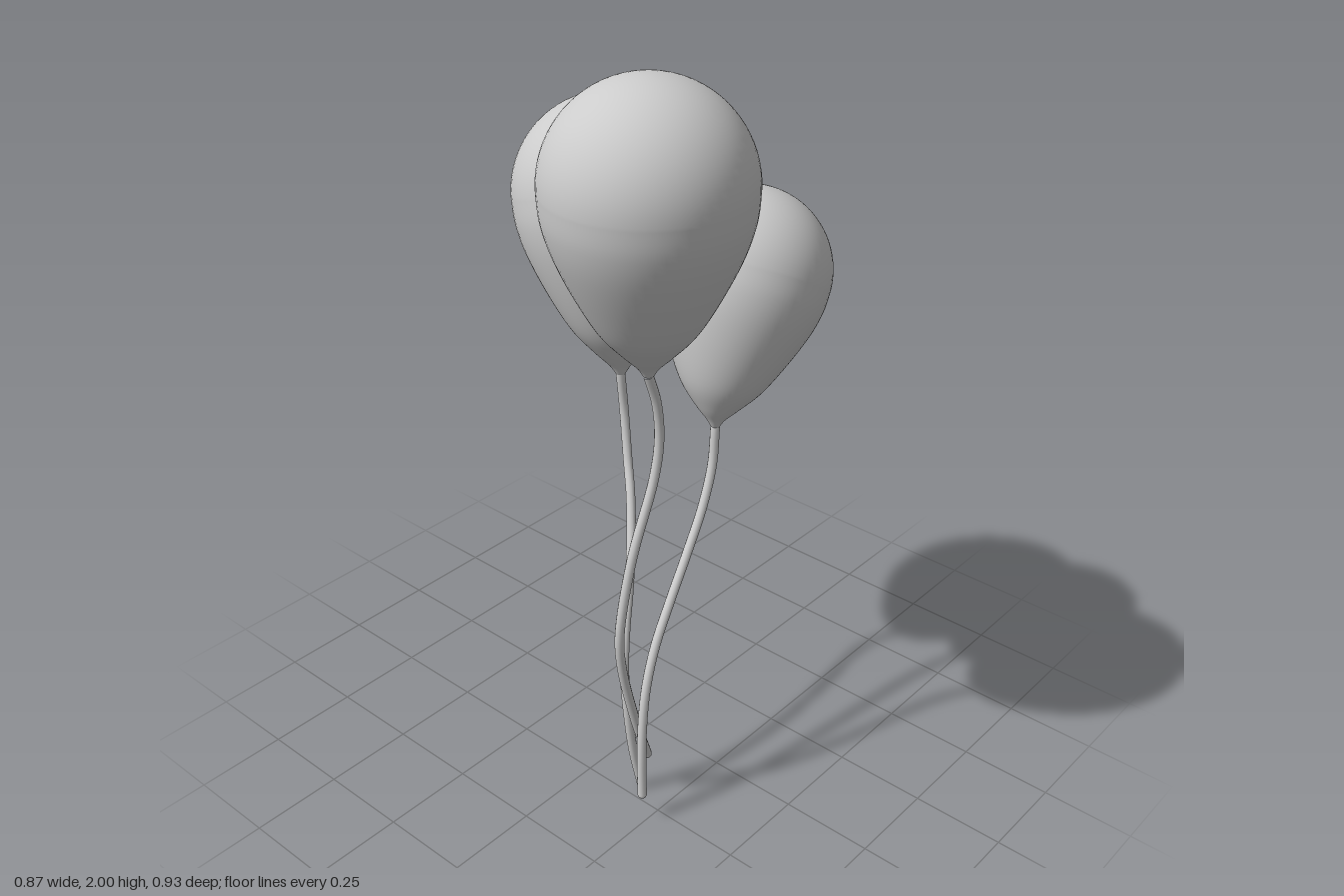
import * as THREE from 'three';
import { mergeVertices } from 'three/addons/utils/BufferGeometryUtils.js';

const V = (x, y, z) => new THREE.Vector3(x, y, z);
const UP = V(0, 1, 0);
const NECK_LENGTH = 0.47; // neck to centre of the round top
const RADIUS = 0.248;
const STRING_RADIUS = 0.0125;

const material = new THREE.MeshStandardMaterial({ color: 0xcccccc });

// Half outline from the neck up: flared cone, then a round dome
function balloonProfile() {
  const lower = new THREE.SplineCurve([
    [0.013, 0], [0.029, 0.025], [0.065, 0.062], [0.12, 0.125],
    [0.174, 0.22], [0.219, 0.32], [0.242, 0.4], [RADIUS, NECK_LENGTH],
  ].map(([r, h]) => new THREE.Vector2(r, h))).getPoints(36);
  for (let i = 1; i <= 20; i++) {
    const a = (i / 20) * Math.PI / 2;
    lower.push(new THREE.Vector2(i === 20 ? 0 : RADIUS * Math.cos(a), NECK_LENGTH + RADIUS * Math.sin(a)));
  }
  return lower;
}

// Lathed balloon, bent so that its neck hangs down while its top leans out
function balloonGeometry(neck, centre, scale) {
  const knee = neck.clone().addScaledVector(UP, 0.25 * (centre.y - neck.y));
  const spine = new THREE.QuadraticBezierCurve3(neck, knee, centre);
  let g = new THREE.LatheGeometry(balloonProfile(), 64);
  g.deleteAttribute('uv');
  g.deleteAttribute('normal');
  const pos = g.attributes.position;
  const q = new THREE.Quaternion();
  for (let i = 0; i < pos.count; i++) {
    const h = pos.getY(i);
    const u = Math.min(h / NECK_LENGTH, 1);
    const tangent = spine.getTangentAt(u);
    const p = V(pos.getX(i), 0, pos.getZ(i)).multiplyScalar(scale);
    p.applyQuaternion(q.setFromUnitVectors(UP, tangent)).add(spine.getPointAt(u));
    p.addScaledVector(tangent, Math.max(h - NECK_LENGTH, 0) * scale);
    pos.setXYZ(i, p.x, p.y, p.z);
  }
  g = mergeVertices(g, 1e-5);
  g.computeVertexNormals();
  return g;
}

function addMesh(parent, geometry, name) {
  const mesh = new THREE.Mesh(geometry, material);
  mesh.name = name;
  parent.add(mesh);
  return mesh;
}

// Each string runs from the neck down to its loose end
const balloons = [
  {
    name: 'frontBalloon', centre: V(0.187, 1.752, 0.216), scale: 1,
    string: [[0.187, 1.285, 0.216], [0.187, 1.2, 0.187], [0.187, 1.1, 0.177], [0.187, 1, 0.195],
      [0.187, 0.8, 0.278], [0.187, 0.6, 0.325], [0.187, 0.5, 0.32], [0.187, 0.3, 0.272], [0.187, 0.145, 0.222]],
  },
  {
    name: 'leftBalloon', centre: V(-0.19, 1.564, -0.067), scale: 1,
    string: [[-0.092, 1.115, 0.008], [-0.085, 1, 0.003], [-0.054, 0.88, 0.025], [-0.015, 0.8, 0.058],
      [0.03, 0.7, 0.107], [0.07, 0.6, 0.16], [0.1, 0.5, 0.208], [0.122, 0.4, 0.238],
      [0.137, 0.3, 0.246], [0.148, 0.15, 0.236], [0.155, 0.013, 0.21]],
  },
  {
    name: 'backBalloon', centre: V(0.107, 1.375, -0.249), scale: 0.88,
    string: [[0.145, 1.005, -0.09], [0.151, 0.9, -0.073], [0.161, 0.8, -0.025], [0.174, 0.7, 0.05],
      [0.188, 0.6, 0.132], [0.2, 0.5, 0.205], [0.212, 0.4, 0.254], [0.222, 0.3, 0.28],
      [0.232, 0.2, 0.295], [0.241, 0.09, 0.303]],
  },
];

export function createModel() {
  const model = new THREE.Group();
  model.name = 'balloonBunch';
  for (const { name, centre, scale, string } of balloons) {
    const group = new THREE.Group();
    group.name = name;
    const path = string.map((p) => V(...p));
    addMesh(group, balloonGeometry(path[0], centre, scale), 'balloon');

    // String with a rounded loose end
    const curve = new THREE.CatmullRomCurve3(path);
    addMesh(group, new THREE.TubeGeometry(curve, 80, STRING_RADIUS, 12), 'string');
    const tip = addMesh(group, new THREE.SphereGeometry(STRING_RADIUS, 12, 8), 'stringTip');
    tip.position.copy(path[path.length - 1]);
    model.add(group);
  }
  return model;
}
